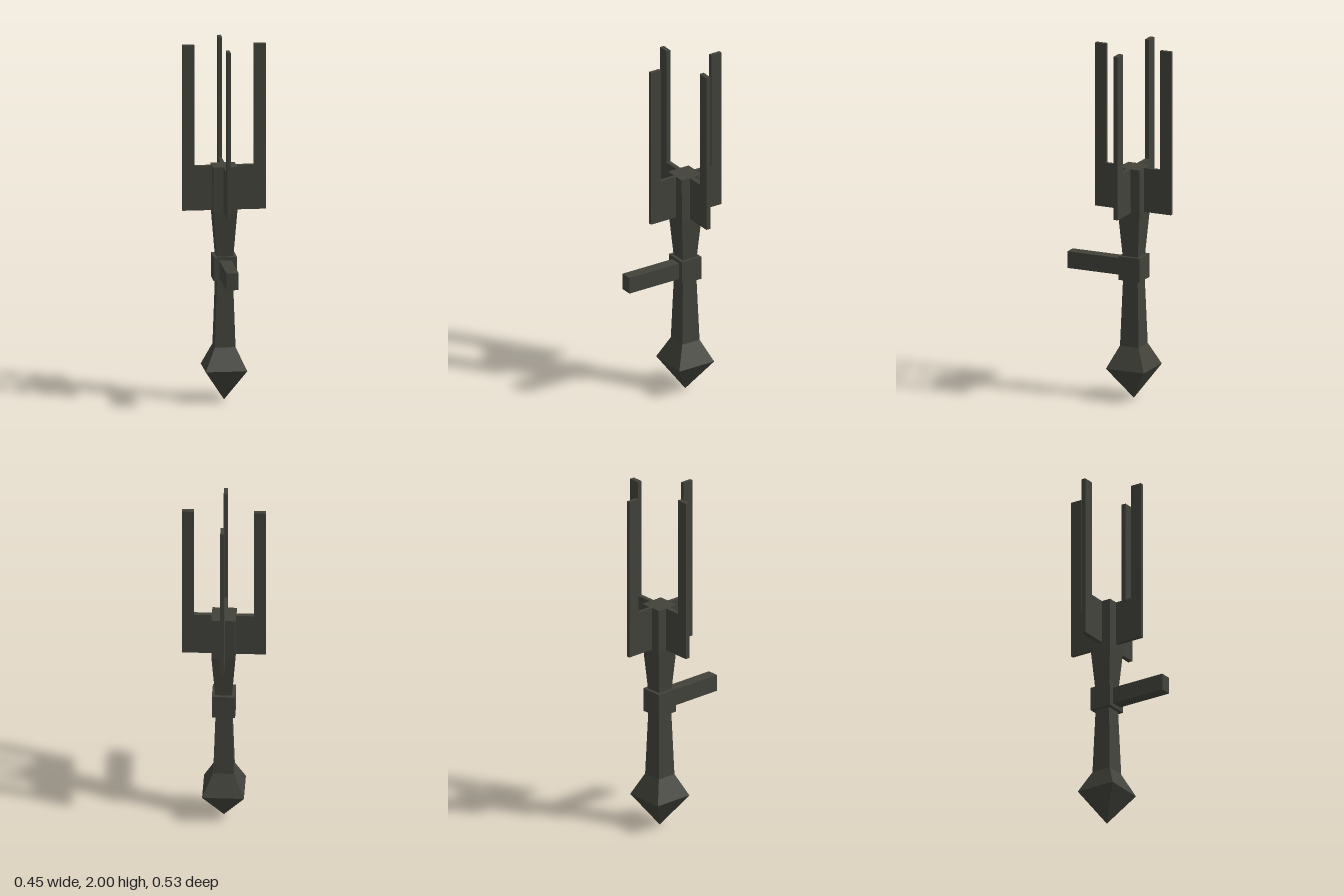
import * as THREE from 'three';

export function createModel() {
  const model = new THREE.Group();
  const metal = new THREE.MeshStandardMaterial({ color: 0x42423b, flatShading: true });
  metal.name = 'darkMetal';

  // Everything is built around its own axis, then turned and shifted into place
  const mace = new THREE.Group();
  mace.name = 'mace';
  mace.position.set(0.03, 0, -0.072);
  mace.rotation.y = -0.634;
  model.add(mace);

  const add = (name, geometry) => {
    const mesh = new THREE.Mesh(geometry, metal);
    mesh.name = name;
    mace.add(mesh);
    return mesh;
  };

  // Square-sectioned body from [half width, height] pairs
  const squareBody = (profile) => new THREE.LatheGeometry(
    profile.map(([h, y]) => new THREE.Vector2(h * Math.SQRT2, y)), 4, Math.PI / 4);

  // Pointed pommel, tapering grip and flared head core
  add('pommel', squareBody([[0, 0], [0.115, 0.18], [0.057, 0.305]]));
  add('grip', squareBody([[0.057, 0.305], [0.044, 0.7]]));
  add('headCore', squareBody([[0.045, 0.8], [0.066, 1.07], [0.067, 1.32], [0, 1.32]]));

  // Collar with a single side arm
  add('collar', new THREE.BoxGeometry(0.128, 0.135, 0.128)).position.y = 0.7475;
  add('sideArm', new THREE.BoxGeometry(0.067, 0.095, 0.349)).position.set(0, 0.748, 0.2145);

  // Four L-shaped flanges rising into prongs
  const outline = new THREE.Shape([
    [0.05, 1.07], [0.231, 1.07], [0.231, 2], [0.165, 2], [0.165, 1.32], [0.05, 1.32],
  ].map(([x, y]) => new THREE.Vector2(x, y)));
  for (let i = 0; i < 4; i++) {
    const thickness = i % 2 ? 0.02 : 0.026;
    const flange = new THREE.ExtrudeGeometry(outline, { depth: thickness, bevelEnabled: false });
    flange.translate(0, 0, -thickness / 2);
    add('prong' + (i + 1), flange).rotation.y = i * Math.PI / 2;
  }

  return model;
}
